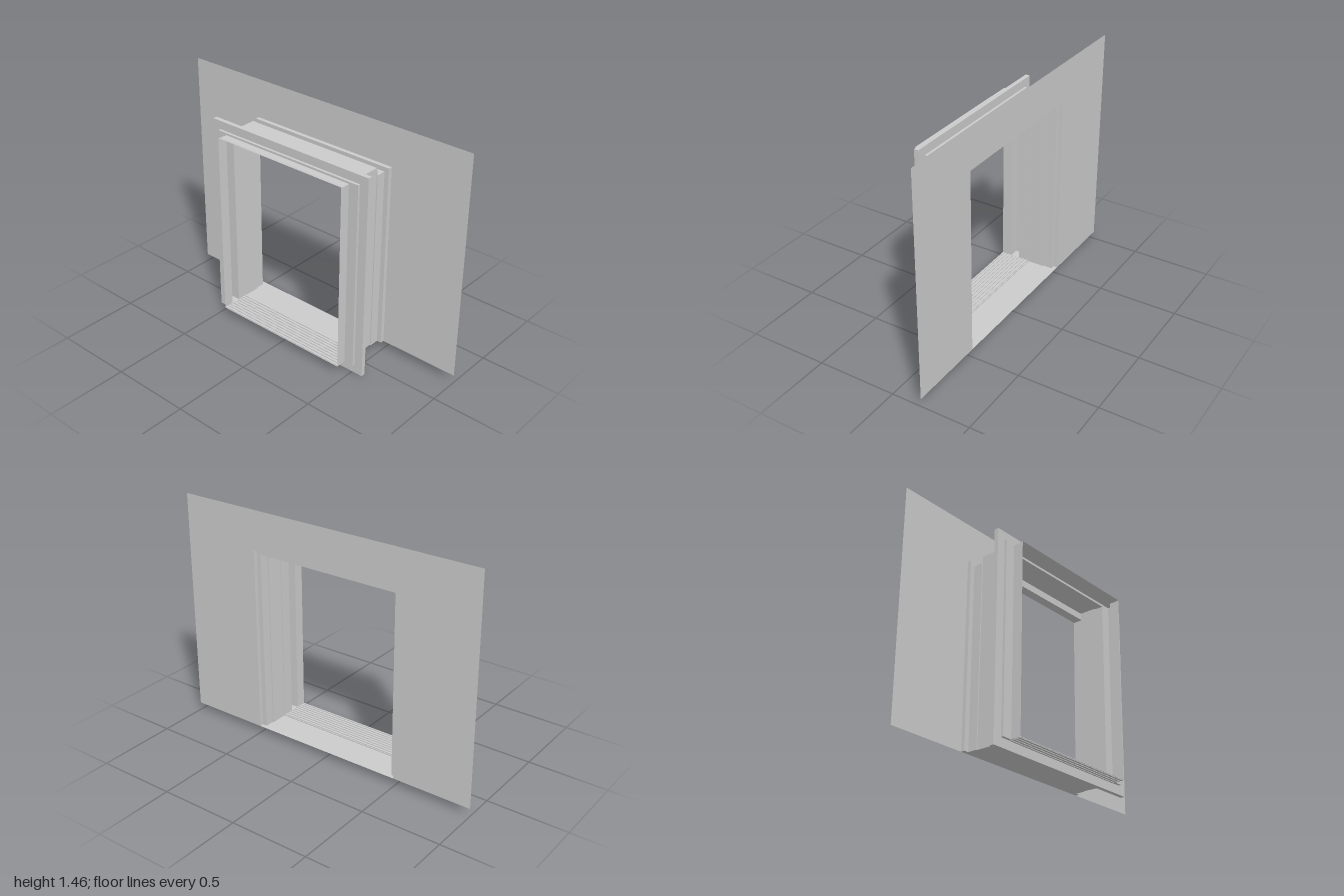
import * as THREE from 'three';

const material = new THREE.MeshStandardMaterial({ color: 0xcccccc, flatShading: true, side: THREE.DoubleSide });

function addMesh(group, name, geometry) {
  const mesh = new THREE.Mesh(geometry, material);
  mesh.name = name;
  group.add(mesh);
  return mesh;
}

// Rectangular loops [z, half width, bottom, top] joined into an open tunnel
function tunnel(stations) {
  const pos = [];
  const corners = ([z, w, b, t]) => [[w, b, z], [w, t, z], [-w, t, z], [-w, b, z]];
  for (let i = 0; i + 1 < stations.length; i++) {
    const a = corners(stations[i]), c = corners(stations[i + 1]);
    for (let k = 0; k < 4; k++) {
      const n = (k + 1) % 4;
      pos.push(...a[k], ...a[n], ...c[n], ...a[k], ...c[n], ...c[k]);
    }
  }
  const g = new THREE.BufferGeometry();
  g.setAttribute('position', new THREE.Float32BufferAttribute(pos, 3));
  g.computeVertexNormals();
  return g;
}

function polygon(points) {
  return new THREE.Shape(points.map(([x, y]) => new THREE.Vector2(x, y)));
}

export function createModel() {
  const group = new THREE.Group();
  group.name = 'doorwayFrame';

  // Thin wall panel with the doorway cut out of its lower edge
  const wall = polygon([
    [-1, 0.05], [-0.495, 0.05], [-0.495, 1.21], [0.495, 1.21],
    [0.495, 0.05], [1, 0.05], [1, 1.455], [-1, 1.455],
  ]);
  addMesh(group, 'wallPanel', new THREE.ShapeGeometry(wall)).position.z = -0.19;

  // Stepped sheet lining, from the wall to the front lip
  addMesh(group, 'doorwayLining', tunnel([
    [-0.19, 0.495, 0.05, 1.21],
    [-0.165, 0.495, 0.05, 1.21],
    [-0.165, 0.466, 0.05, 1.182],
    [-0.105, 0.466, 0.05, 1.182],
    [-0.105, 0.459, 0.05, 1.225],
    [0, 0.459, 0.05, 1.225],
    [0, 0.454, 0.056, 1.221],
    [0.03, 0.454, 0.056, 1.216],
    [0.068, 0.454, 0.056, 1.216],
    [0.068, 0.515, 0.056, 1.23],
    [0.126, 0.515, 0.056, 1.23],
    [0.126, 0.453, 0.056, 1.217],
    [0.17, 0.453, 0.056, 1.217],
    [0.19, 0.453, 0.056, 1.221],
  ]));

  // Outer flange ring around the lining
  const ring = polygon([[-0.57, 0], [0.57, 0], [0.57, 1.283], [-0.57, 1.283]]);
  ring.holes.push(polygon([[-0.515, 0.055], [-0.515, 1.23], [0.515, 1.23], [0.515, 0.055]]));
  const ringGeometry = new THREE.ExtrudeGeometry(ring, { depth: 0.027, bevelEnabled: false });
  addMesh(group, 'outerFlange', ringGeometry).position.z = 0.083;

  // Ribs running along the door sill
  for (let i = 0; i < 9; i++) {
    const rib = addMesh(group, 'sillRib', new THREE.BoxGeometry(0.904, 0.009, 0.01));
    rib.position.set(0, 0.0565, 0.012 + i * 0.0212);
  }
  return group;
}
